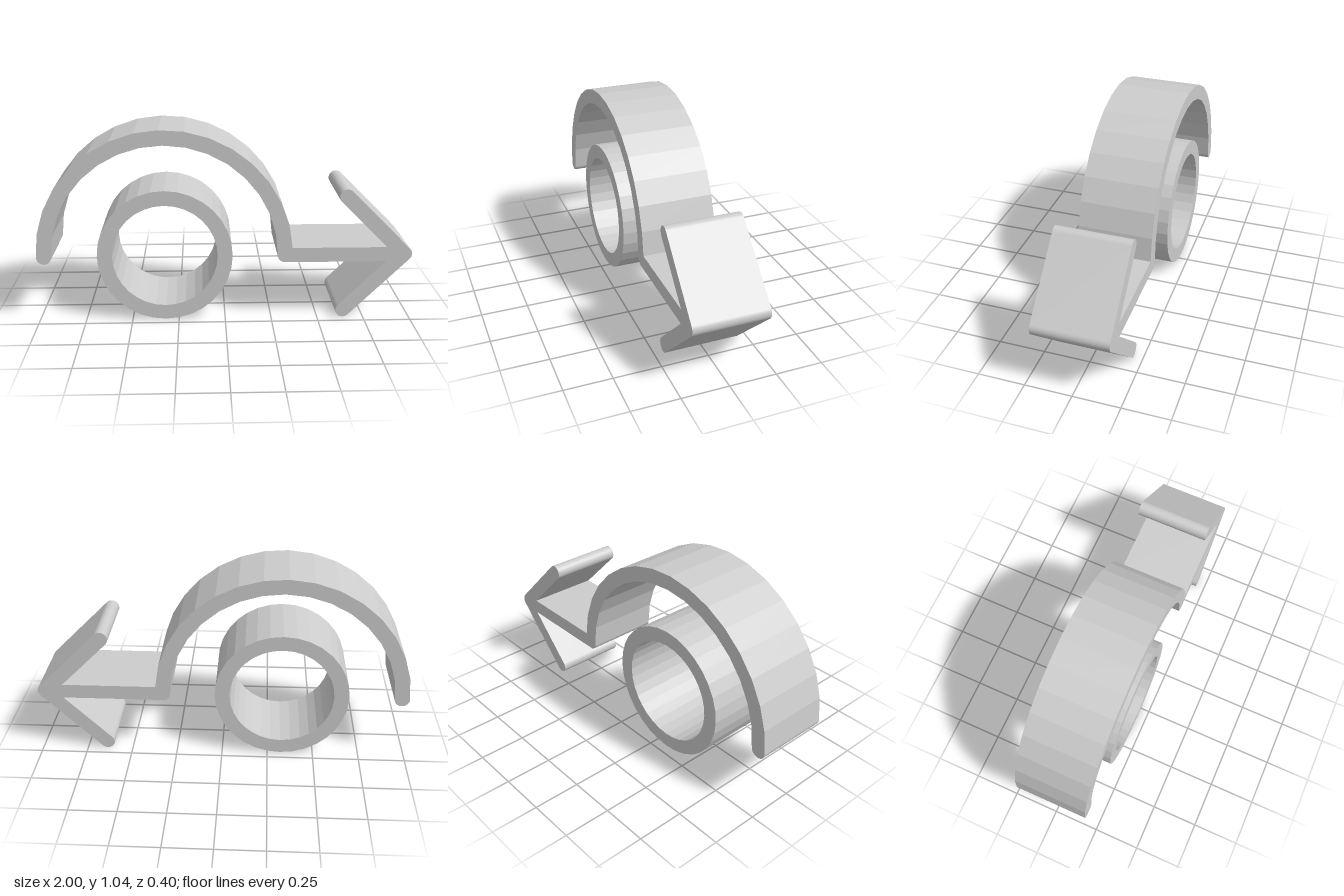
import * as THREE from 'three';

const DEPTH = 0.4; // front-to-back thickness
const W = 0.04; // half of the stroke width
const CX = -0.32, CY = 0.36; // shared centre of ring and arch

export function createModel() {
  const group = new THREE.Group();
  group.name = 'archArrowAndRing';
  const grey = new THREE.MeshStandardMaterial({ color: 0xcccccc });
  grey.name = 'light grey';

  const addPart = (name, shape, curveSegments) => {
    const geometry = new THREE.ExtrudeGeometry(shape, { depth: DEPTH, bevelEnabled: false, curveSegments });
    geometry.translate(0, 0, -DEPTH / 2);
    const mesh = new THREE.Mesh(geometry, grey);
    mesh.name = name;
    group.add(mesh);
  };

  // Ring: round tube with a through hole
  const ring = new THREE.Shape().absarc(CX, CY, 0.36, 0, Math.PI * 2, false);
  ring.holes.push(new THREE.Path().absarc(CX, CY, 0.28, 0, Math.PI * 2, true));
  addPart('ring', ring, 16);

  // Arch running into an arrow, as one continuous rounded stroke
  const PI = Math.PI;
  const radius = 0.64;
  const tipX = 0.96, barb = 0.32; // arrow tip and barb reach
  const notchX = tipX - W - W * Math.SQRT2; // where shaft meets the barbs
  const arrow = new THREE.Shape();
  const cap = (x, y, from, to) => arrow.absarc(x, y, W, from, to, false);

  arrow.absarc(CX, CY, radius - W, PI, 0, true); // inside of the arch
  cap(CX + radius, CY, PI, PI * 1.5); // elbow
  arrow.lineTo(notchX, CY - W); // underside of the shaft
  cap(tipX - barb, CY - barb, PI * 0.75, PI * 1.75); // lower barb end
  cap(tipX, CY, -PI / 4, PI / 4); // tip
  cap(tipX - barb, CY + barb, PI / 4, PI * 1.25); // upper barb end
  arrow.lineTo(notchX, CY + W); // top of the shaft
  arrow.absarc(CX, CY, radius + W, Math.asin(W / (radius + W)), PI, false); // outside of the arch
  cap(CX - radius, CY, PI, PI * 2); // free end of the arch
  addPart('archArrow', arrow, 8);

  return group;
}
